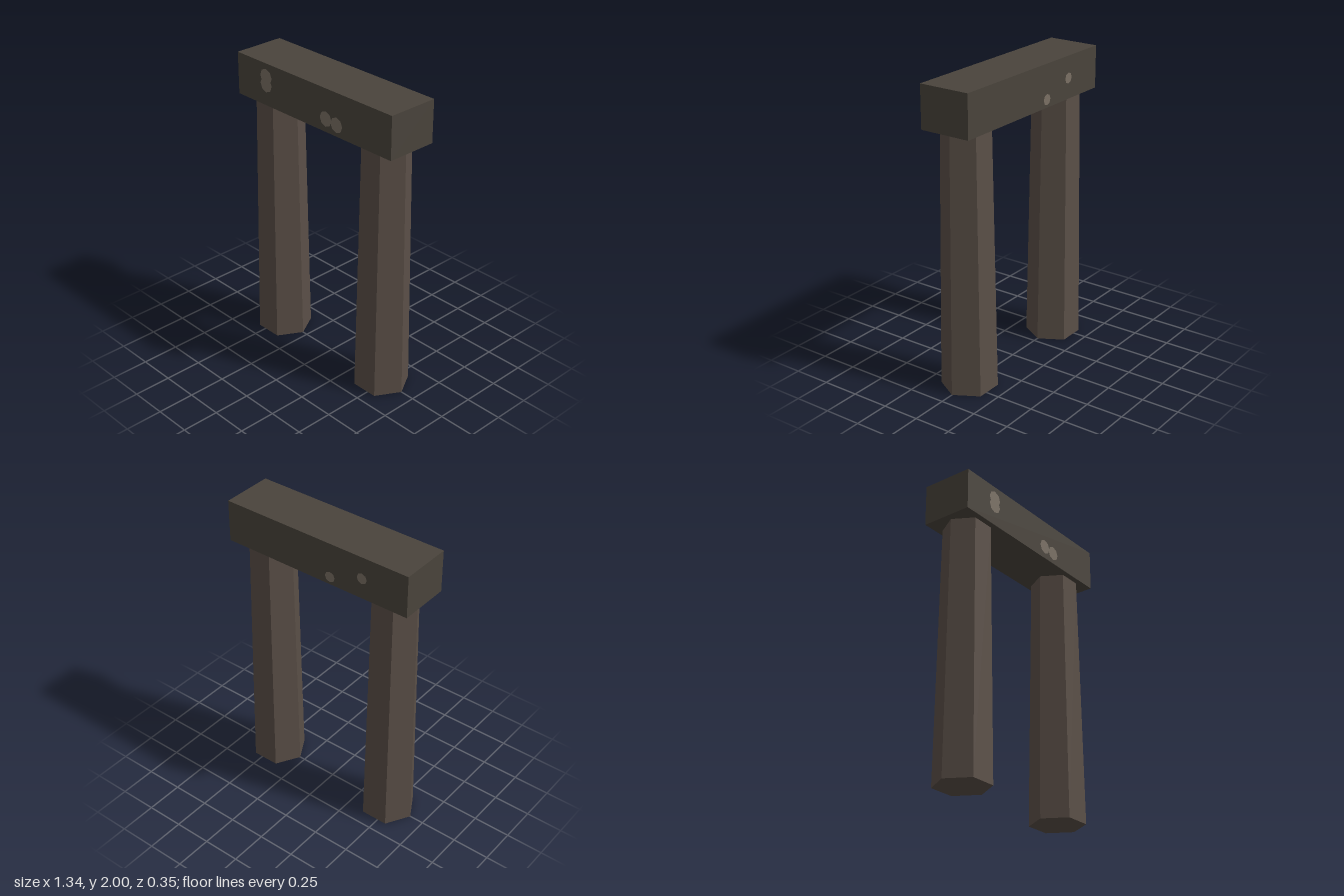
import * as THREE from 'three';

const BEAM = { width: 1.34, height: 0.28, depth: 0.346, bottom: 1.72 };

function material(color) {
  return new THREE.MeshStandardMaterial({ color, flatShading: true });
}

export function createModel() {
  const model = new THREE.Group();
  const postStone = material(0x5a4f47);
  const beamStone = material(0x4a443c);
  const lichen = material(0x7a7064);

  function add(name, geometry, mat, x, y, z) {
    const mesh = new THREE.Mesh(geometry, mat);
    mesh.name = name;
    mesh.position.set(x, y, z);
    model.add(mesh);
    return mesh;
  }

  // Tapered six-sided posts, with a flat side facing front
  const post = new THREE.CylinderGeometry(0.155, 0.182, BEAM.bottom, 6, 1, false, Math.PI / 6);
  for (const side of [-1, 1]) {
    add(side > 0 ? 'leftPost' : 'rightPost', post, postStone, side * 0.47, BEAM.bottom / 2, 0);
  }

  // Crossbeam resting on the posts
  add('crossbeam', new THREE.BoxGeometry(BEAM.width, BEAM.height, BEAM.depth), beamStone,
    0, BEAM.bottom + BEAM.height / 2, 0);

  // Flat patches on the beam faces: x, y, radius, facing
  const patches = [
    [-0.403, 1.912, 0.053, 1],
    [-0.403, 1.861, 0.052, 1],
    [0.132, 1.805, 0.05, 1],
    [0.224, 1.795, 0.05, 1],
    [-0.116, 1.773, 0.036, -1],
    [-0.35, 1.857, 0.036, -1],
  ];
  patches.forEach(([x, y, radius, facing], i) => {
    const lift = 0.002 + i * 0.0003;
    const patch = add('lichenPatch', new THREE.CircleGeometry(radius, 8), lichen,
      x, y, facing * (BEAM.depth / 2 + lift));
    if (facing < 0) patch.rotation.y = Math.PI;
  });

  return model;
}
